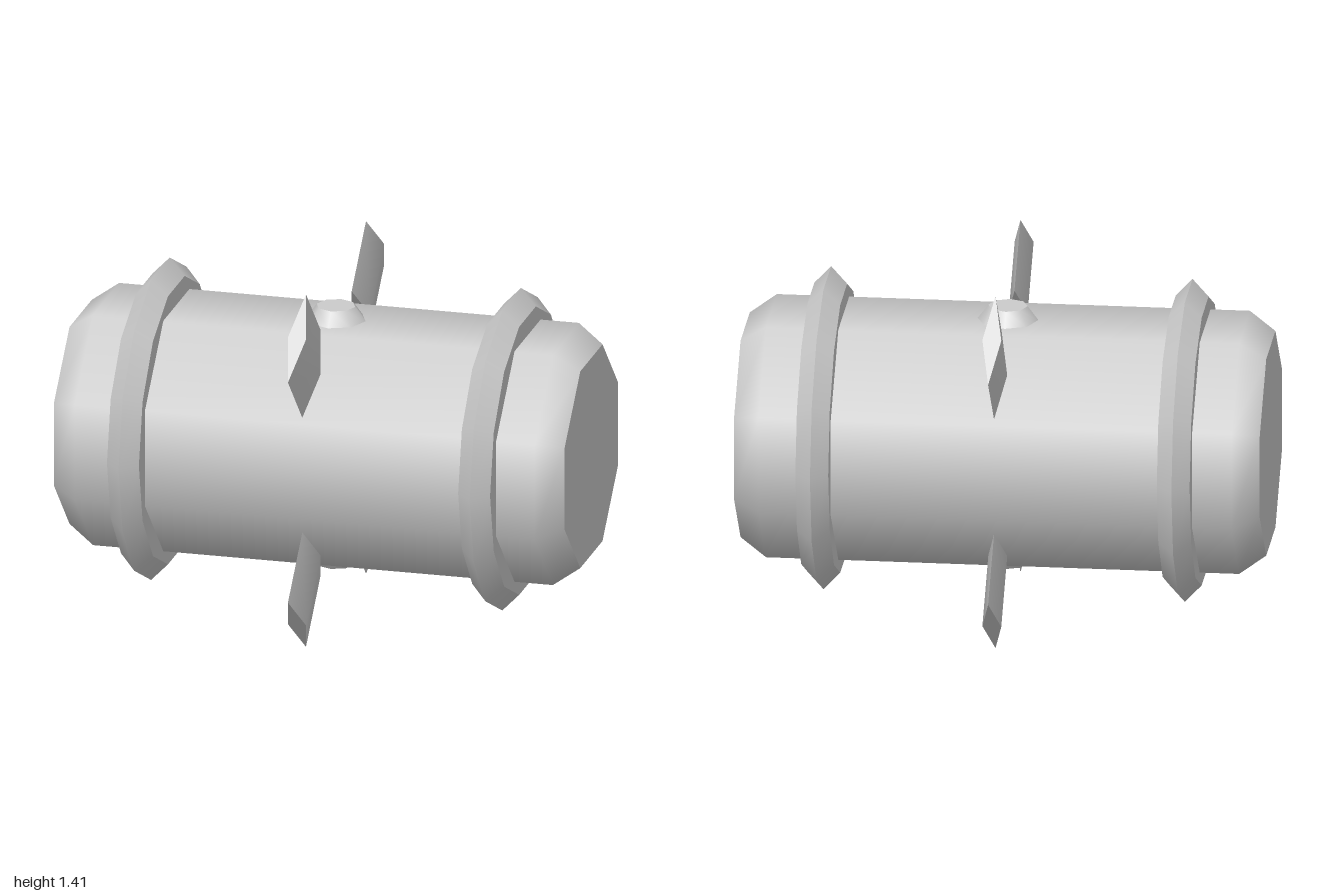
import * as THREE from 'three';
import { mergeGeometries, toCreasedNormals } from 'three/addons/utils/BufferGeometryUtils.js';

const CENTRE = 0.71;

// Turned solid: each run of [radius, height] points is smooth, with sharp edges between runs.
function turned(runs, sides, phiStart = 0) {
  return mergeGeometries(runs.map(run =>
    new THREE.LatheGeometry(run.map(([r, h]) => new THREE.Vector2(r, h)), sides, phiStart)));
}

// Splits a profile into one run per straight band.
const bands = profile => profile.slice(1).map((p, i) => [profile[i], p]);

export function createModel() {
  const model = new THREE.Group();
  model.name = 'canister';
  const grey = new THREE.MeshStandardMaterial({ color: 0xcccccc });
  grey.name = 'light grey';

  const add = (name, geometry) => {
    const mesh = new THREE.Mesh(geometry, grey);
    mesh.name = name;
    mesh.position.y = CENTRE;
    model.add(mesh);
    return mesh;
  };

  // Eight-sided body lying along x, with bevelled ends
  const body = turned([
    [[0, -1], [0.426, -1]],
    [[0.426, -1], [0.499, -0.9], [0.499, 0.9], [0.426, 1]],
    [[0.426, 1], [0, 1]],
  ], 8, Math.PI / 8);
  add('body', body.rotateZ(-Math.PI / 2));

  // Ridged collars near both ends
  for (const side of [1, -1]) {
    const collar = turned(bands([
      [0.44, -0.0625], [0.55, -0.0625], [0.615, 0], [0.55, 0.0625], [0.44, 0.0625],
    ]), 14);
    add(side > 0 ? 'leftCollar' : 'rightCollar', collar.rotateZ(-Math.PI / 2))
      .position.x = side * 0.6875;
  }

  // Four diamond-section fins around the middle, standing just off the body
  const diamond = new THREE.Shape([[0.036, 0], [0, 0.1875], [-0.036, 0], [0, -0.1875]]
    .map(([x, y]) => new THREE.Vector2(x, y)));
  const fin = toCreasedNormals(
    new THREE.ExtrudeGeometry(diamond, { depth: 0.298, bevelEnabled: false }).translate(0, 0, 0.512), 0.8);
  for (let i = 0; i < 4; i++) {
    add('fin' + (i + 1), fin).rotation.x = Math.PI / 4 + i * Math.PI / 2;
  }

  // Bevelled caps above and below
  const cap = turned(bands([[0.12, 0.455], [0.075, 0.515], [0, 0.515]]), 8);
  add('topCap', cap);
  add('bottomCap', cap).rotation.x = Math.PI;

  return model;
}
